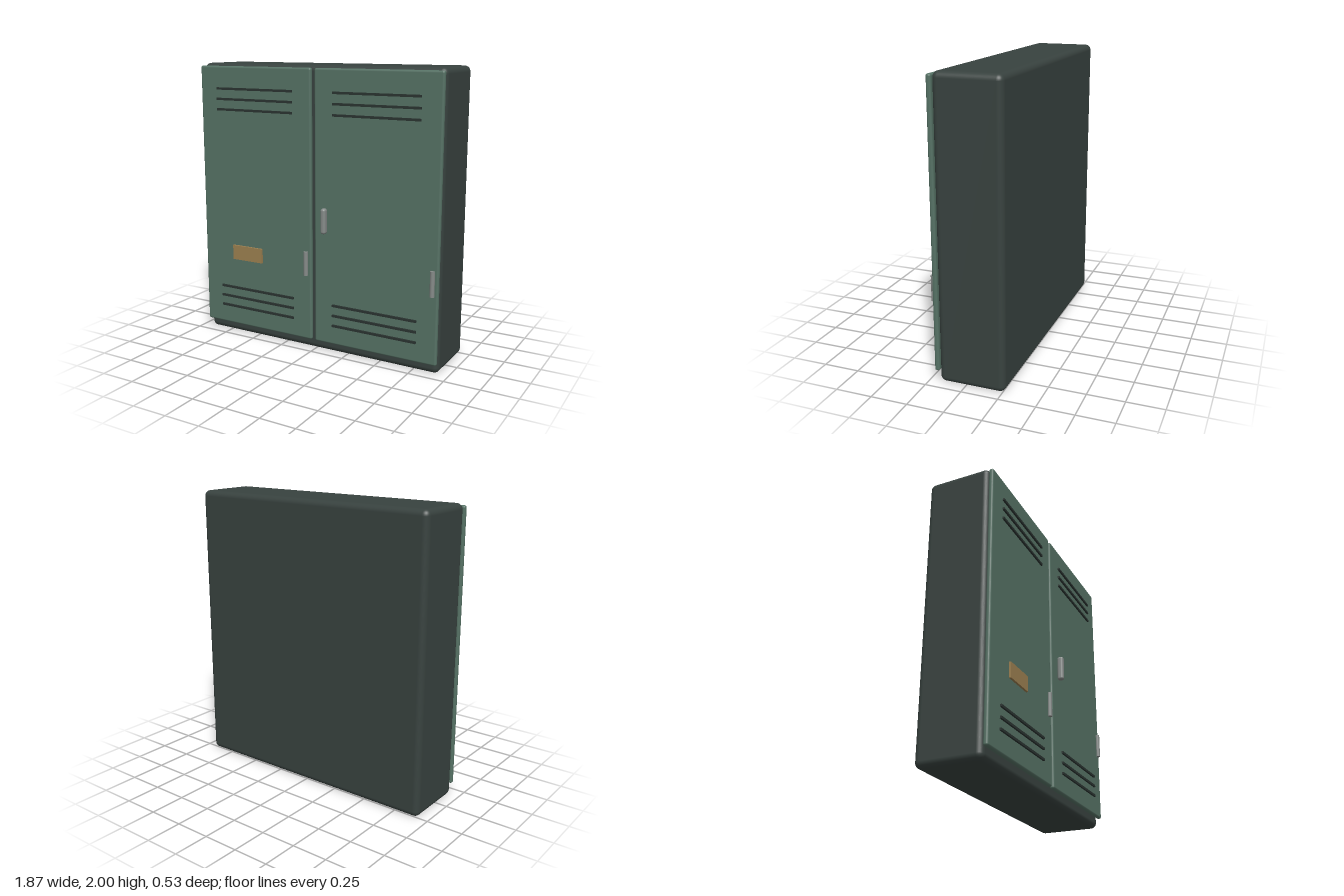
import * as THREE from 'three';
import { RoundedBoxGeometry } from 'three/addons/geometries/RoundedBoxGeometry.js';

const paint = (color) => new THREE.MeshStandardMaterial({ color });

export function createModel() {
  const model = new THREE.Group();
  const bodyPaint = paint(0x38423f);
  const doorPaint = paint(0x567265);
  const slotPaint = paint(0x2a3330);
  const metal = paint(0x858a88);
  const brass = paint(0x9c8050);

  const add = (name, parent, geometry, material, x, y, z) => {
    const mesh = new THREE.Mesh(geometry, material);
    mesh.name = name;
    mesh.position.set(x, y, z);
    parent.add(mesh);
    return mesh;
  };

  // Cabinet body
  add('cabinet', model, new RoundedBoxGeometry(1.865, 2, 0.448, 4, 0.04), bodyPaint, 0, 1, -0.043);

  // Two doors, each with three vent slots at the top and bottom and a hinge
  const doorGeometry = new RoundedBoxGeometry(0.918, 1.91, 0.034, 3, 0.014);
  const slotGeometry = new THREE.BoxGeometry(0.63, 0.016, 0.018);
  const hingeGeometry = new THREE.CylinderGeometry(0.016, 0.016, 0.172, 20);
  for (const [name, x, hingeX] of [['rightDoor', -0.474, -0.054], ['leftDoor', 0.472, 0.893]]) {
    const door = new THREE.Group();
    door.name = name;
    model.add(door);
    add('doorPanel', door, doorGeometry, doorPaint, x, 1.027, 0.198);
    for (const base of [0.213, 1.677]) {
      for (let i = 0; i < 3; i++) {
        add('ventSlot', door, slotGeometry, slotPaint, x, base + i * 0.0735, 0.218);
      }
    }
    add('hinge', door, hingeGeometry, metal, hingeX, 0.633, 0.222);
  }

  // Handle and name plate
  add('handle', model, new RoundedBoxGeometry(0.038, 0.178, 0.045, 4, 0.017), metal, 0.104, 0.96, 0.2445);
  add('namePlate', model, new THREE.BoxGeometry(0.252, 0.106, 0.02), brass, -0.549, 0.634, 0.22);

  return model;
}
